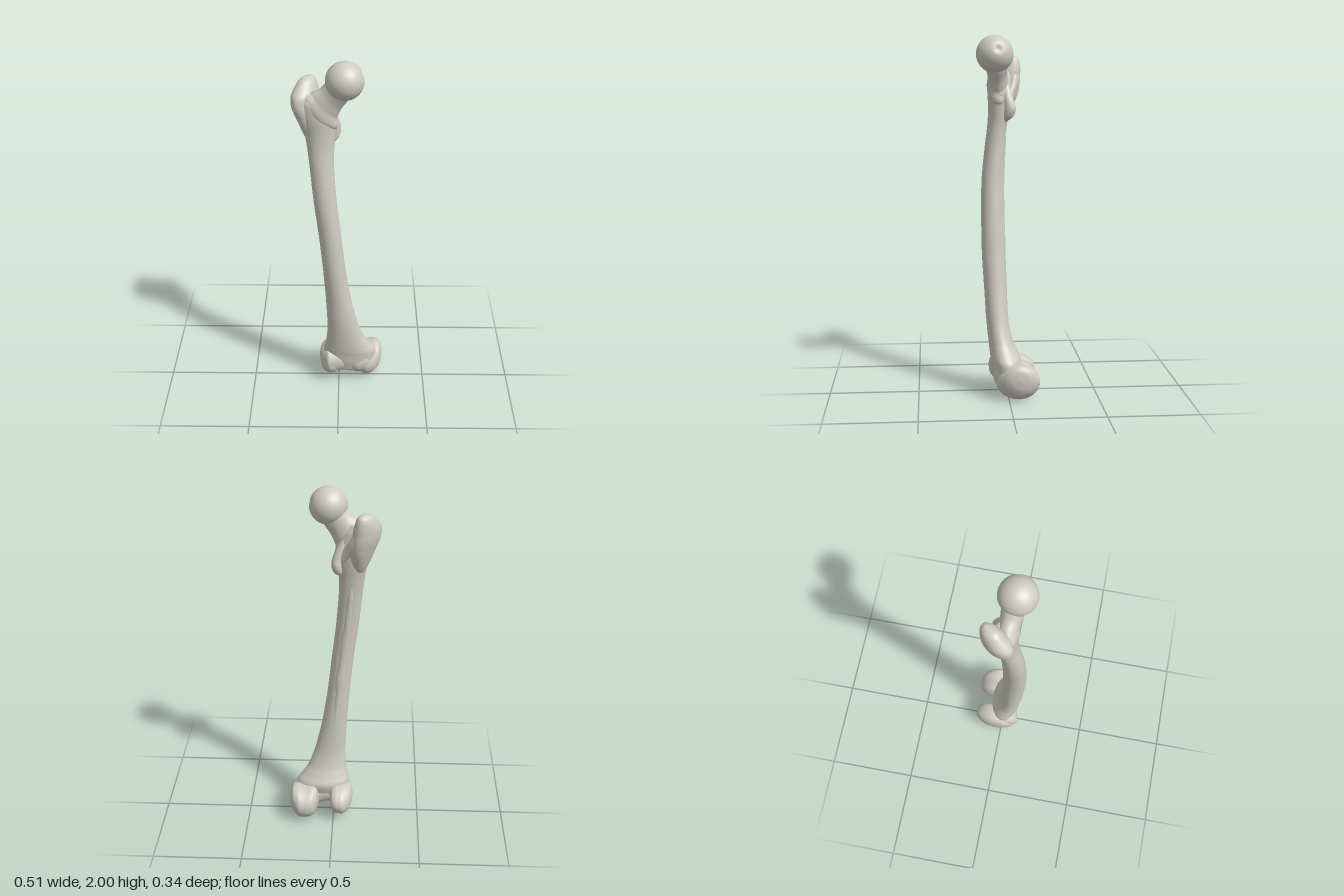
import * as THREE from 'three';

const X = new THREE.Vector3(1, 0, 0);
const Y = new THREE.Vector3(0, 1, 0);
const Z = new THREE.Vector3(0, 0, 1);

// Smooth closed skin over elliptical sections [cx, cy, cz, ru, rv] lying in the u, v plane
function loft(rows, u, v, sides = 40, steps = 6) {
  const centres = new THREE.CatmullRomCurve3(rows.map(r => new THREE.Vector3(r[0], r[1], r[2])));
  const radii = new THREE.CatmullRomCurve3(rows.map(r => new THREE.Vector3(r[3], r[4], 0)));
  const count = (rows.length - 1) * steps;
  const pos = [], idx = [];
  for (let i = 0; i <= count; i++) {
    const c = centres.getPoint(i / count), r = radii.getPoint(i / count);
    for (let j = 0; j < sides; j++) {
      const a = (j / sides) * Math.PI * 2;
      const p = c.clone()
        .addScaledVector(u, Math.max(r.x, 0.001) * Math.cos(a))
        .addScaledVector(v, Math.max(r.y, 0.001) * Math.sin(a));
      pos.push(p.x, p.y, p.z);
    }
  }
  const along = centres.getPoint(1).sub(centres.getPoint(0));
  const flip = new THREE.Vector3().crossVectors(u, v).dot(along) < 0;
  const tri = (a, b, c) => (flip ? idx.push(a, c, b) : idx.push(a, b, c));
  for (let i = 0; i < count; i++) {
    for (let j = 0; j < sides; j++) {
      const k = (j + 1) % sides;
      const a = i * sides + j, b = i * sides + k, c = a + sides, d = b + sides;
      tri(a, b, d);
      tri(a, d, c);
    }
  }
  // Close both ends
  const last = count * sides;
  for (let j = 1; j < sides - 1; j++) {
    tri(0, j + 1, j);
    tri(last, last + j, last + j + 1);
  }
  const g = new THREE.BufferGeometry();
  g.setAttribute('position', new THREE.Float32BufferAttribute(pos, 3));
  g.setIndex(idx);
  g.computeVertexNormals();
  return g;
}

// Ball of the hip joint with a shallow pit on its inner side
function headGeometry() {
  const g = new THREE.SphereGeometry(0.102, 64, 48);
  const pit = new THREE.Vector3(0.94, 0.28, -0.15).normalize();
  const p = g.attributes.position, d = new THREE.Vector3();
  for (let i = 0; i < p.count; i++) {
    d.fromBufferAttribute(p, i);
    const s = d.clone().normalize().distanceTo(pit) / 0.2;
    d.multiplyScalar(1 - 0.12 * Math.exp(-s * s));
    p.setXYZ(i, d.x, d.y, d.z);
  }
  g.computeVertexNormals();
  return g;
}

export function createModel() {
  const bone = new THREE.MeshStandardMaterial({ color: 0xcfccc3 });
  bone.name = 'bone';
  const model = new THREE.Group();
  model.name = 'thighBone';
  const add = (name, geometry) => {
    const m = new THREE.Mesh(geometry, bone);
    m.name = name;
    model.add(m);
    return m;
  };

  // Bowed shaft, given as outline limits: y, x min, x max, z min, z max
  const outline = [
    [0.08, -0.05, 0.18, -0.03, 0.07],
    [0.14, -0.085, 0.215, -0.06, 0.086],
    [0.20, -0.09, 0.215, -0.075, 0.093],
    [0.25, -0.08, 0.18, -0.055, 0.10],
    [0.30, -0.07, 0.147, -0.032, 0.105],
    [0.40, -0.065, 0.11, -0.01, 0.115],
    [0.60, -0.075, 0.065, 0, 0.127],
    [0.80, -0.09, 0.035, 0.01, 0.138],
    [1.00, -0.11, 0.013, 0.015, 0.14],
    [1.20, -0.135, -0.01, 0.015, 0.136],
    [1.40, -0.155, -0.025, 0.004, 0.115],
    [1.50, -0.166, -0.025, -0.008, 0.102],
    [1.60, -0.182, -0.015, -0.025, 0.097],
    [1.70, -0.212, -0.01, -0.035, 0.10],
    [1.77, -0.22, -0.04, -0.035, 0.095],
    [1.815, -0.20, -0.08, -0.02, 0.07],
  ];
  add('shaft', loft(outline.map(([y, x0, x1, z0, z1]) =>
    [(x0 + x1) / 2, y, (z0 + z1) / 2, (x1 - x0) / 2, (z1 - z0) / 2]), X, Z, 48));

  // Fine ridge down the back of the shaft
  add('backRidge', loft([
    [-0.10, 1.50, 0.005, 0.004, 0.004],
    [-0.09, 1.40, 0.012, 0.016, 0.014],
    [-0.072, 1.20, 0.022, 0.018, 0.014],
    [-0.048, 1.00, 0.023, 0.018, 0.014],
    [-0.028, 0.80, 0.019, 0.018, 0.014],
    [-0.006, 0.60, 0.012, 0.014, 0.013],
    [0.01, 0.45, 0.008, 0.004, 0.004],
  ], X, Z, 16));

  // Head and neck
  add('head', headGeometry()).position.set(0.031, 1.898, 0.067);
  add('neck', loft([
    [-0.14, 1.65, 0.035, 0.07, 0.05],
    [-0.115, 1.69, 0.037, 0.097, 0.058],
    [-0.08, 1.75, 0.042, 0.097, 0.058],
    [-0.037, 1.80, 0.05, 0.077, 0.056],
    [0, 1.85, 0.058, 0.075, 0.066],
    [0.03, 1.895, 0.066, 0.065, 0.065],
  ], new THREE.Vector3(-0.71, 0.7, 0), Z));

  // Large outer knob, set diagonally, and the small inner one
  add('greaterTrochanter', loft([
    [-0.13, 1.52, 0.03, 0.02, 0.02],
    [-0.138, 1.58, 0.02, 0.05, 0.042],
    [-0.152, 1.67, 0.008, 0.085, 0.058],
    [-0.172, 1.75, 0.003, 0.1, 0.062],
    [-0.176, 1.80, -0.002, 0.096, 0.06],
    [-0.17, 1.845, -0.02, 0.073, 0.048],
    [-0.165, 1.873, -0.03, 0.053, 0.034],
    [-0.163, 1.886, -0.034, 0.03, 0.016],
    [-0.162, 1.888, -0.035, 0.002, 0.002],
  ], new THREE.Vector3(0.58, 0, -0.81), new THREE.Vector3(0.81, 0, 0.58)));
  add('lesserTrochanter', loft([
    [-0.035, 1.525, 0.005, 0.004, 0.004],
    [-0.022, 1.555, -0.012, 0.024, 0.026],
    [-0.015, 1.595, -0.02, 0.027, 0.032],
    [-0.018, 1.635, -0.016, 0.025, 0.028],
    [-0.04, 1.69, -0.005, 0.025, 0.026],
    [-0.07, 1.76, 0.005, 0.015, 0.015],
  ], X, Z, 24));

  // Ridge between the trochanters on the back
  add('trochanterRidge', loft([
    [-0.03, 1.61, -0.005, 0.02, 0.018],
    [-0.07, 1.665, -0.022, 0.028, 0.022],
    [-0.11, 1.73, -0.045, 0.03, 0.026],
    [-0.135, 1.80, -0.05, 0.025, 0.025],
  ], new THREE.Vector3(0.8, 0.6, 0), Z, 24));

  // Knee joint: two rounded condyles joined by the groove at the front
  add('innerCondyle', loft([
    [0.085, 0.125, -0.04, 0.03, 0.03],
    [0.098, 0.118, -0.047, 0.075, 0.08],
    [0.122, 0.108, -0.053, 0.097, 0.107],
    [0.16, 0.1, -0.05, 0.1, 0.121],
    [0.2, 0.105, -0.056, 0.098, 0.115],
    [0.235, 0.12, -0.06, 0.08, 0.082],
    [0.25, 0.126, -0.06, 0.05, 0.05],
    [0.256, 0.128, -0.06, 0.006, 0.006],
  ], Y, Z));
  add('outerCondyle', loft([
    [-0.114, 0.13, -0.025, 0.006, 0.006],
    [-0.107, 0.127, -0.025, 0.048, 0.055],
    [-0.088, 0.117, -0.028, 0.08, 0.1],
    [-0.05, 0.116, -0.032, 0.09, 0.131],
    [-0.018, 0.118, -0.035, 0.088, 0.126],
    [0.008, 0.122, -0.045, 0.072, 0.1],
    [0.022, 0.125, -0.05, 0.035, 0.04],
  ], Y, Z));
  add('kneeGroove', loft([
    [-0.09, 0.145, 0.03, 0.04, 0.035],
    [-0.06, 0.135, 0.03, 0.078, 0.07],
    [0, 0.137, 0.018, 0.08, 0.072],
    [0.05, 0.137, 0.008, 0.076, 0.07],
    [0.11, 0.125, 0.008, 0.085, 0.076],
    [0.16, 0.13, 0, 0.08, 0.076],
    [0.2, 0.14, -0.01, 0.05, 0.05],
  ], Y, Z));

  return model;
}
